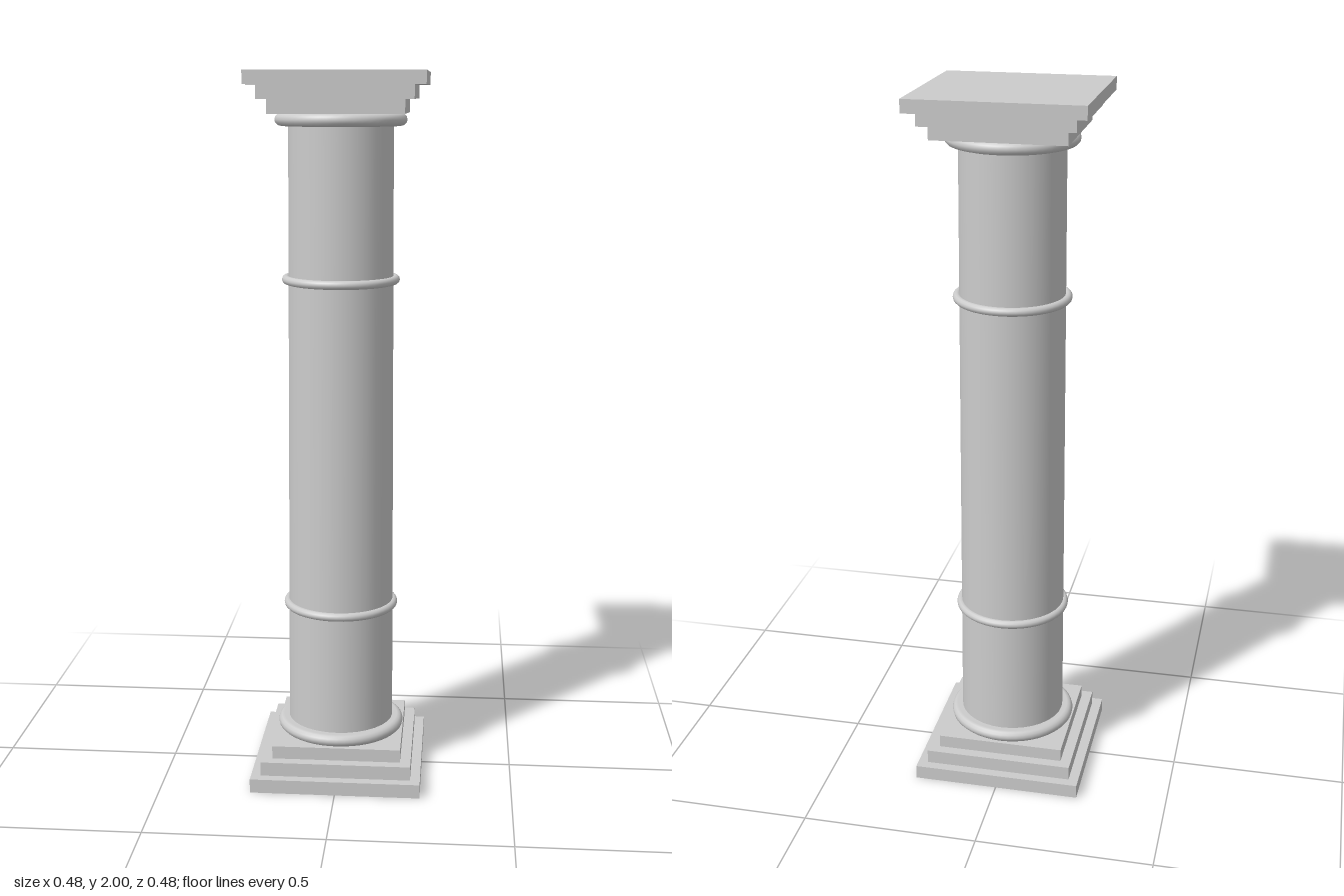
import * as THREE from 'three';

const material = new THREE.MeshStandardMaterial({ color: 0xcccccc });

function add(group, name, geometry, y) {
  const mesh = new THREE.Mesh(geometry, material);
  mesh.name = name;
  mesh.position.y = y;
  group.add(mesh);
  return mesh;
}

// Square slab from y0 to y1
function slab(group, name, half, y0, y1) {
  add(group, name, new THREE.BoxGeometry(half * 2, y1 - y0, half * 2), (y0 + y1) / 2);
}

// Rounded horizontal ring with a given outer radius and thickness
function ring(group, name, outer, thickness, y) {
  const tube = thickness / 2;
  const geometry = new THREE.TorusGeometry(outer - tube, tube, 12, 48);
  geometry.rotateX(Math.PI / 2);
  add(group, name, geometry, y);
}

export function createModel() {
  const column = new THREE.Group();
  column.name = 'column';

  // Stepped base
  const base = new THREE.Group();
  base.name = 'base';
  slab(base, 'plinth', 0.241, 0, 0.04);
  slab(base, 'baseMiddleStep', 0.213, 0.04, 0.08);
  slab(base, 'baseUpperStep', 0.183, 0.08, 0.117);
  ring(base, 'baseMoulding', 0.183, 0.034, 0.134);
  add(base, 'baseMouldingCore', new THREE.CylinderGeometry(0.166, 0.166, 0.034, 48), 0.134);

  // Slightly tapered shaft with two thin bands
  const shaft = new THREE.Group();
  shaft.name = 'shaft';
  add(shaft, 'shaftBody', new THREE.CylinderGeometry(0.144, 0.152, 1.75, 32, 1), 1.0);
  for (const [name, y] of [['lowerBand', 0.5], ['upperBand', 1.438]]) {
    ring(shaft, name, 0.164, 0.024, y);
  }

  // Stepped capital, widening upward
  const capital = new THREE.Group();
  capital.name = 'capital';
  ring(capital, 'capitalMoulding', 0.181, 0.034, 1.872);
  add(capital, 'capitalMouldingCore', new THREE.CylinderGeometry(0.164, 0.164, 0.034, 48), 1.872);
  slab(capital, 'capitalLowerStep', 0.181, 1.889, 1.927);
  slab(capital, 'capitalMiddleStep', 0.206, 1.927, 1.964);
  slab(capital, 'abacus', 0.237, 1.964, 2);

  column.add(base, shaft, capital);
  return column;
}
